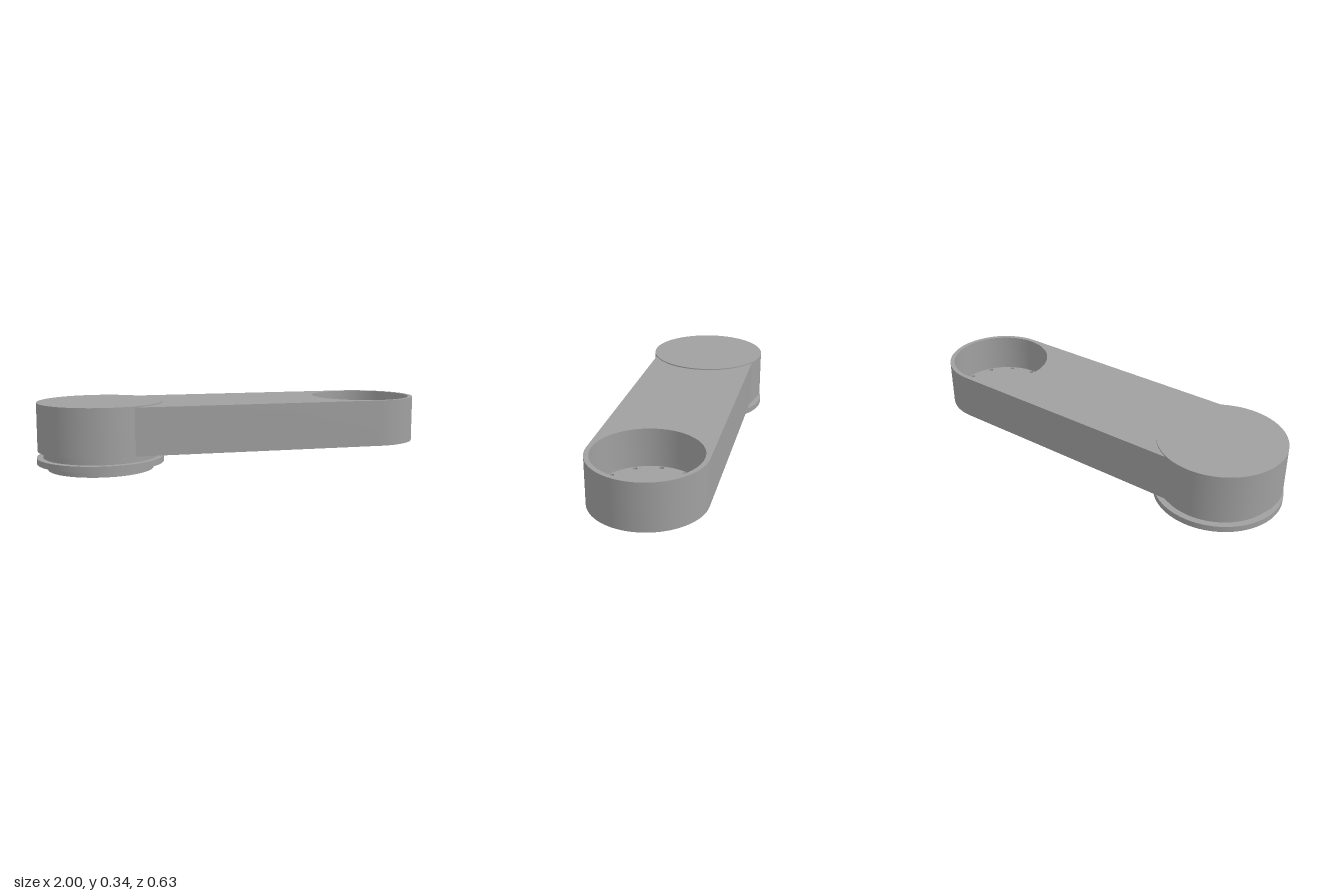
import * as THREE from 'three';
import { toCreasedNormals } from 'three/addons/utils/BufferGeometryUtils.js';

const HEAD_X = -0.683, SOCKET_X = 0.718;
const BOTTOM = 0.097, FLOOR = 0.137, ROOF = 0.302, TOP = 0.332;

// Stadium-shaped arm outline, its square end buried in the round head
function armOutline() {
  const s = new THREE.Shape();
  s.moveTo(-0.56, -0.28);
  s.lineTo(SOCKET_X, -0.28);
  s.absarc(SOCKET_X, 0, 0.28, -Math.PI / 2, Math.PI / 2, false);
  s.lineTo(-0.56, 0.28);
  s.closePath();
  return s;
}

function circle(x, y, r) {
  return new THREE.Path().absarc(x, y, r, 0, Math.PI * 2, true);
}

// Rounded rectangle, used for the pocket opening
function roundedRect(path, x0, x1, h, r) {
  path.moveTo(x0 + r, -h);
  path.lineTo(x1 - r, -h);
  path.absarc(x1 - r, -h + r, r, -Math.PI / 2, 0, false);
  path.lineTo(x1, h - r);
  path.absarc(x1 - r, h - r, r, 0, Math.PI / 2, false);
  path.lineTo(x0 + r, h);
  path.absarc(x0 + r, h - r, r, Math.PI / 2, Math.PI, false);
  path.lineTo(x0, -h + r);
  path.absarc(x0 + r, -h + r, r, Math.PI, Math.PI * 1.5, false);
  return path;
}

// Bar with rounded ends, centred on the origin
function barShape(length, width) {
  const s = new THREE.Shape(), a = length / 2 - width / 2, r = width / 2;
  s.moveTo(-a, -r);
  s.lineTo(a, -r);
  s.absarc(a, 0, r, -Math.PI / 2, Math.PI / 2, false);
  s.lineTo(-a, r);
  s.absarc(-a, 0, r, Math.PI / 2, Math.PI * 1.5, false);
  return s;
}

// Extrude a plan shape upwards between two heights
function slab(shape, y0, y1, segments = 40) {
  const g = new THREE.ExtrudeGeometry(shape, { depth: y1 - y0, bevelEnabled: false, curveSegments: segments });
  g.rotateX(-Math.PI / 2).translate(0, y0, 0);
  return toCreasedNormals(g, 0.6);
}

export function createModel() {
  const model = new THREE.Group();
  model.name = 'linkArm';
  const metal = new THREE.MeshStandardMaterial({ name: 'grey metal', color: 0xa0a0a0 });

  const add = (name, geometry, parent = model) => {
    const mesh = new THREE.Mesh(geometry, metal);
    mesh.name = name;
    parent.add(mesh);
    return mesh;
  };

  // Arm in three layers: drilled floor, hollow walls, roof over the pocket
  const arm = new THREE.Group();
  arm.name = 'arm';
  model.add(arm);
  const pocket = () => roundedRect(new THREE.Path(), -0.36, 0.425, 0.235, 0.07);
  const socket = () => circle(SOCKET_X, 0, 0.257);

  const floor = armOutline();
  floor.holes.push(pocket());
  for (let i = 0; i < 12; i++) {
    const a = (i / 12) * Math.PI * 2;
    floor.holes.push(circle(SOCKET_X + 0.242 * Math.cos(a), 0.242 * Math.sin(a), 0.012));
  }
  add('armFloor', slab(floor, BOTTOM, FLOOR), arm);

  const walls = armOutline();
  walls.holes.push(pocket(), socket());
  add('armWalls', slab(walls, FLOOR, ROOF), arm);

  const roof = armOutline();
  roof.holes.push(socket());
  add('armRoof', slab(roof, ROOF, TOP), arm);

  // Stiffening ribs inside the underside pocket
  const ribs = new THREE.Group();
  ribs.name = 'ribs';
  model.add(ribs);
  add('longRib', slab(barShape(0.84, 0.05), BOTTOM, ROOF + 0.005), ribs).position.x = 0.03;
  for (const side of [-1, 1]) {
    const rib = add('crossRib', slab(barShape(0.68, 0.05), BOTTOM, ROOF + 0.005), ribs);
    rib.position.x = 0.02;
    rib.rotation.y = side * Math.atan2(0.2, 0.25);
  }

  // Round head with its stepped mounting base
  const rings = [
    ['head', 0.312, BOTTOM, 0.338],
    ['neck', 0.285, 0.063, BOTTOM],
    ['flange', 0.317, 0.033, 0.063],
    ['foot', 0.264, 0, 0.033],
  ];
  for (const [name, r, y0, y1] of rings) {
    const g = new THREE.CylinderGeometry(r, r, y1 - y0, 80);
    add(name, g).position.set(HEAD_X, (y0 + y1) / 2, 0);
  }
  return model;
}
